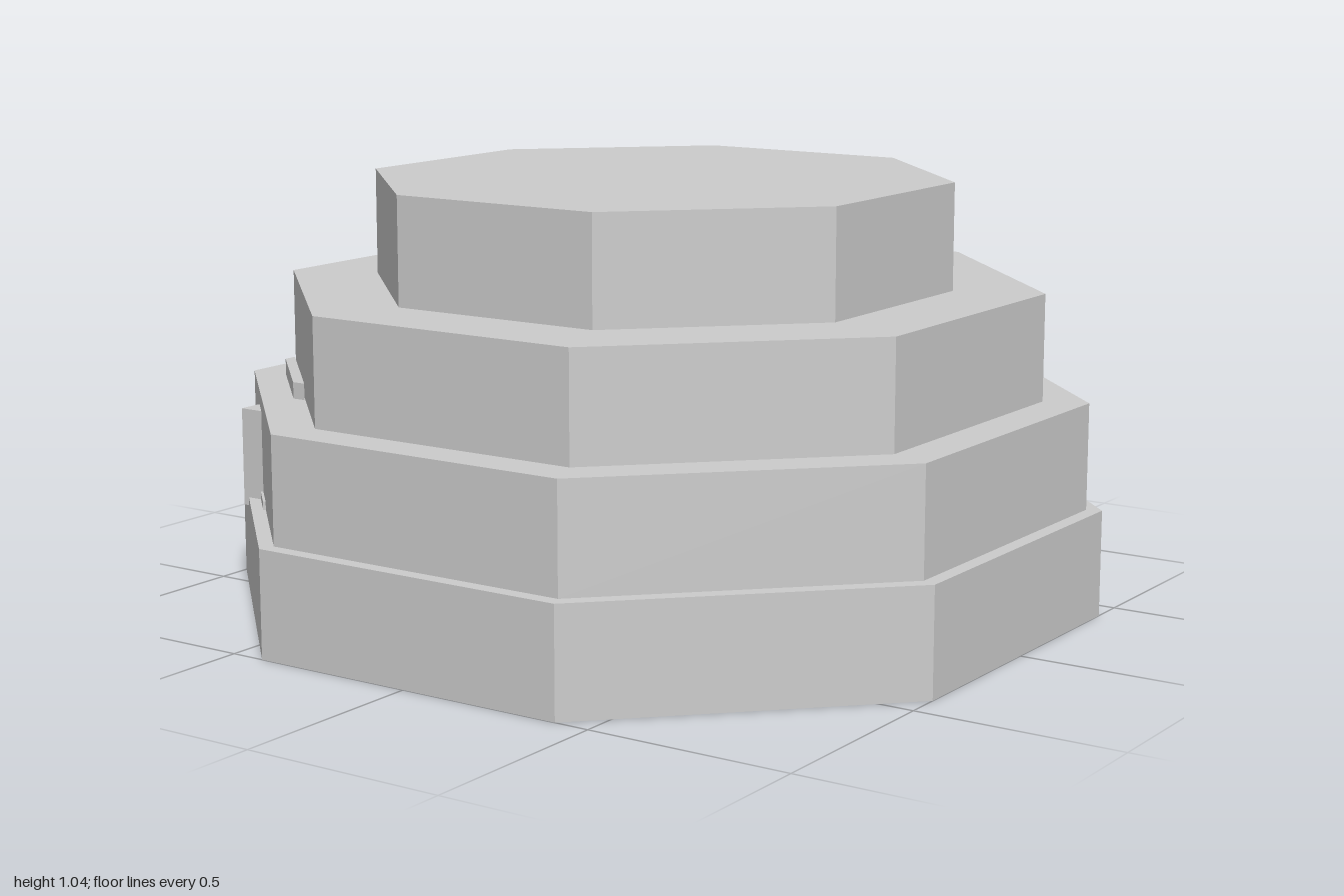
import * as THREE from 'three';

export function createModel() {
  const group = new THREE.Group();
  const stone = new THREE.MeshStandardMaterial({ color: 0xcccccc });
  stone.name = 'grey stone';
  stone.flatShading = true;

  const add = (name, geometry) => {
    const mesh = new THREE.Mesh(geometry, stone);
    mesh.name = name;
    group.add(mesh);
    return mesh;
  };

  // Four stacked octagonal tiers: distance from centre to flat side, x/z shift
  const tierHeight = 0.26;
  [[1, 0], [0.966, -0.002], [0.864, -0.002], [0.661, -0.002]].forEach(([apothem, shift], i) => {
    const r = apothem / Math.cos(Math.PI / 8);
    const g = new THREE.CylinderGeometry(r, r, tierHeight, 8);
    g.rotateY(Math.PI / 8);
    add('tier' + (i + 1), g).position.set(shift, tierHeight * (i + 0.5), shift);
  });

  // Slanted ledge with a footprint given as [x, z] corners
  const ledge = (name, corners, y, height) => {
    const shape = new THREE.Shape(corners.map(([x, z]) => new THREE.Vector2(x, -z)));
    const g = new THREE.ExtrudeGeometry(shape, { depth: height, bevelEnabled: false });
    g.rotateX(-Math.PI / 2);
    add(name, g).position.y = y;
  };
  ledge('upperLedge', [[-0.865, 0.36], [-0.865, 0.395], [-0.64, 0.62], [-0.605, 0.62]], 0.52, 0.04);
  ledge('lowerLedge', [[-0.95, 0.41], [-0.955, 0.42], [-0.665, 0.71], [-0.655, 0.705]], 0.26, 0.02);

  // Small upright post on the front right slanted side
  add('post', new THREE.BoxGeometry(0.065, 0.24, 0.065)).position.set(-0.766, 0.36, 0.598);

  return group;
}
